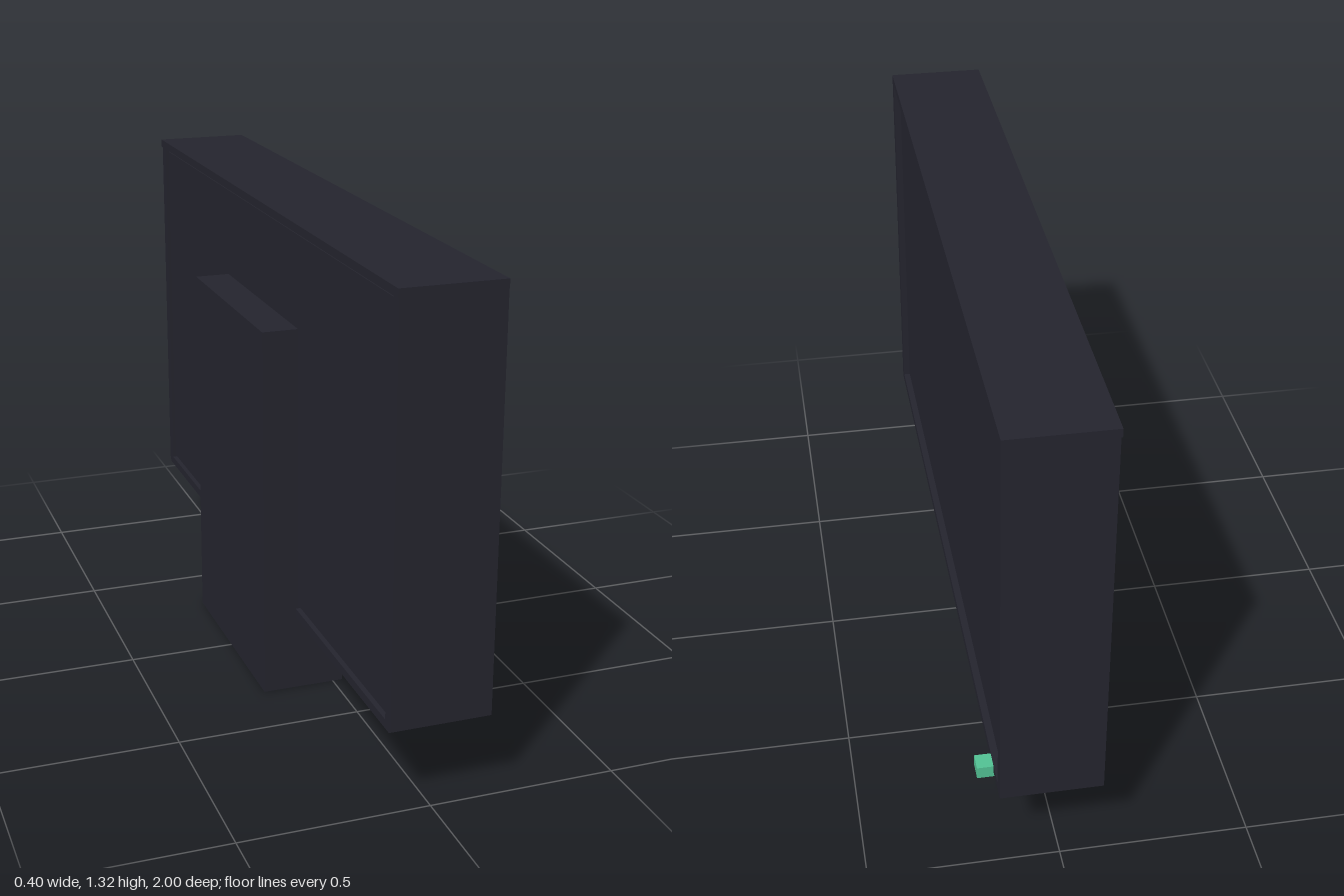
import * as THREE from 'three';

const casing = new THREE.MeshStandardMaterial({ color: 0x24242e });
casing.name = 'dark casing';
const green = new THREE.MeshStandardMaterial({ color: 0x52c093 });
green.name = 'green indicator';

// Box given by its min and max corners
function box(name, material, min, max) {
  const size = max.map((v, i) => v - min[i]);
  const mesh = new THREE.Mesh(new THREE.BoxGeometry(...size), material);
  mesh.position.set(...min.map((v, i) => (v + max[i]) / 2));
  mesh.name = name;
  return mesh;
}

export function createModel() {
  const model = new THREE.Group();
  model.name = 'monitor';

  // Frame of four boards around the screen, which faces +x
  const frame = new THREE.Group();
  frame.name = 'frame';
  frame.add(
    box('frameTop', casing, [-0.113, 1.295, -1], [0.157, 1.318, 1]),
    box('frameBottom', casing, [-0.11, 0.216, -0.99], [0.157, 0.24, 0.99]),
  );
  for (const side of [-1, 1]) {
    const z = [side * 0.965, side * 0.998].sort((a, b) => a - b);
    frame.add(box(side > 0 ? 'frameSideFront' : 'frameSideBack', casing,
      [-0.11, 0.221, z[0]], [0.157, 1.295, z[1]]));
  }
  model.add(frame);

  // Screen body, held clear of the frame by a narrow gap
  model.add(box('screen', casing, [-0.104, 0.251, -0.947], [0.14, 1.287, 0.95]));

  // Upright stand behind and under the screen
  model.add(box('stand', casing, [-0.202, 0, -0.305], [0.028, 1.038, 0.31]));

  // Power indicator poking out of the lower edge
  model.add(box('powerIndicator', green, [0.087, 0.202, -0.902], [0.2, 0.237, -0.855]));

  return model;
}
